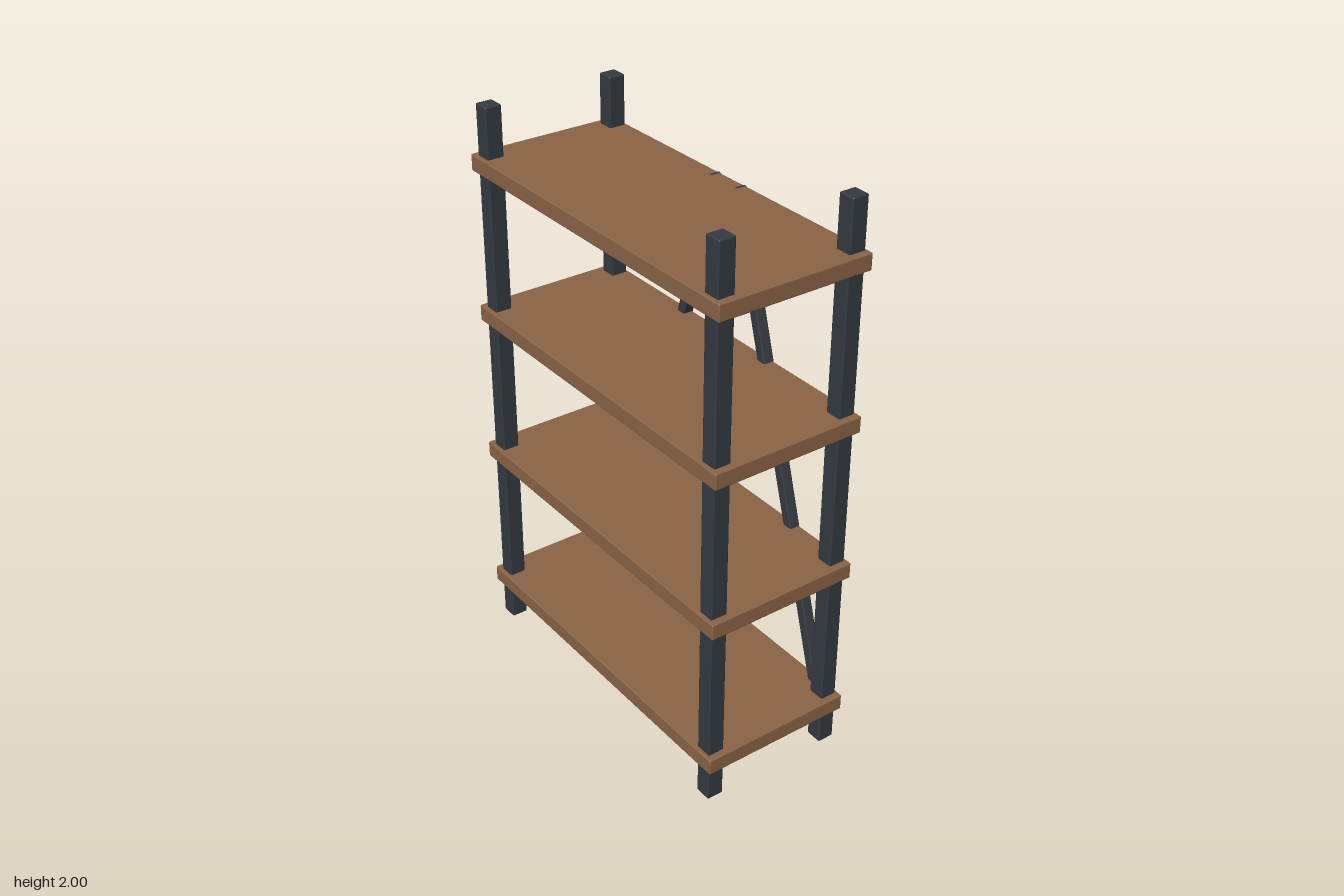
import * as THREE from 'three';
import { RoundedBoxGeometry } from 'three/addons/geometries/RoundedBoxGeometry.js';

export function createModel() {
  const model = new THREE.Group();
  model.name = 'shelfUnit';

  const wood = new THREE.MeshStandardMaterial({ color: 0x8b6446 });
  wood.name = 'brown wood';
  const steel = new THREE.MeshStandardMaterial({ color: 0x343b41 });
  steel.name = 'dark steel';

  // Slightly softened box, added by its centre
  function addBox(name, size, position, material) {
    const mesh = new THREE.Mesh(new RoundedBoxGeometry(...size, 2, 0.005), material);
    mesh.name = name;
    mesh.position.set(...position);
    model.add(mesh);
    return mesh;
  }

  // Four evenly spaced shelves
  for (let i = 0; i < 4; i++) {
    addBox('shelf' + (i + 1), [1.308, 0.058, 0.555], [0, 0.16 + i * 0.545, 0.0015], wood);
  }

  for (const side of [1, -1]) {
    const label = side > 0 ? 'Left' : 'Right';

    // Corner posts
    addBox('front' + label + 'Post', [0.06, 2, 0.06], [side * 0.6, 1, 0.235], steel);
    addBox('back' + label + 'Post', [0.06, 2, 0.06], [side * 0.6, 1, -0.238], steel);

    // Back braces, leaning together towards the top shelf
    const bottom = new THREE.Vector2(side * 0.549, 0.16);
    const top = new THREE.Vector2(side * 0.052, 1.822);
    const along = top.clone().sub(bottom);
    const brace = addBox('back' + label + 'Brace', [0.037, along.length(), 0.04],
      [(bottom.x + top.x) / 2, (bottom.y + top.y) / 2, -0.259], steel);
    brace.rotation.z = Math.atan2(-along.x, along.y);
  }

  return model;
}
